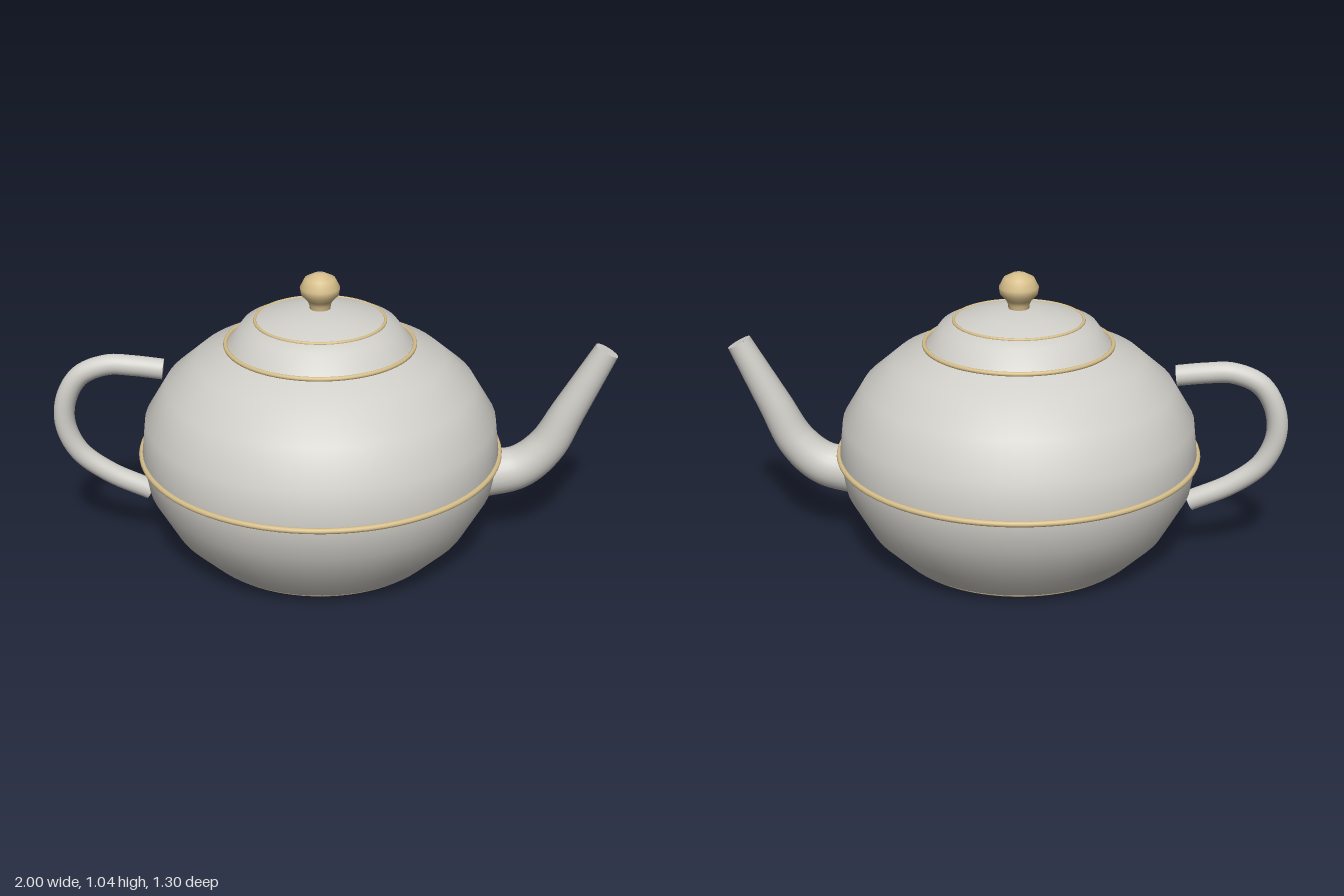
import * as THREE from 'three';

const BODY_X = -0.05;

export function createModel() {
  const model = new THREE.Group();
  model.name = 'teapot';

  const silver = new THREE.MeshStandardMaterial({ color: 0xd0cec8 });
  silver.name = 'pale silver';
  const gold = new THREE.MeshStandardMaterial({ color: 0xd6be8a });
  gold.name = 'soft gold';

  const add = (name, geometry, material, x = 0, y = 0) => {
    const mesh = new THREE.Mesh(geometry, material);
    mesh.name = name;
    mesh.position.set(x, y, 0);
    model.add(mesh);
    return mesh;
  };

  // Turned parts, profiles run from bottom to top as [radius, height]
  const turned = (name, profile, material, segments = 64) =>
    add(name, new THREE.LatheGeometry(profile.map(([r, y]) => new THREE.Vector2(r, y)), segments), material, BODY_X);

  turned('body', [
    [0.41, 0], [0.44, 0.015], [0.54, 0.115], [0.62, 0.26], [0.64, 0.38],
    [0.625, 0.51], [0.55, 0.635], [0.44, 0.73], [0.33, 0.78],
  ], silver);
  turned('lid', [
    [0.33, 0.78], [0.318, 0.792], [0.275, 0.85], [0.225, 0.87],
    [0.144, 0.895], [0.077, 0.908], [0, 0.912],
  ], silver);
  turned('knob', [
    [0.036, 0.905], [0.038, 0.925], [0.045, 0.94], [0.066, 0.962], [0.07, 0.987],
    [0.053, 1.02], [0.022, 1.036], [0, 1.038],
  ], gold, 32);

  // Flat underside
  add('base', new THREE.CircleGeometry(0.41, 64).rotateX(Math.PI / 2), silver, BODY_X);

  // Gold trim rings: name, radius, thickness, height
  for (const [name, radius, tube, y] of [
    ['baseRing', 0.422, 0.006, 0.008],
    ['waistRing', 0.642, 0.01, 0.38],
    ['lidRimRing', 0.332, 0.008, 0.783],
    ['lidUpperRing', 0.228, 0.006, 0.868],
  ]) {
    add(name, new THREE.TorusGeometry(radius, tube, 10, 80).rotateX(Math.PI / 2), gold, BODY_X, y);
  }

  // Round tube along a path, tapering from r0 to r1, with closed ends
  const taperedTube = (name, path, r0, r1) => {
    const curve = new THREE.CatmullRomCurve3(path.map(([x, y]) => new THREE.Vector3(x, y, 0)));
    const steps = 48, sides = 24;
    const geometry = new THREE.TubeGeometry(curve, steps, r0, sides);
    const pos = geometry.attributes.position;
    const v = new THREE.Vector3();
    for (let i = 0; i <= steps; i++) {
      const t = i / steps;
      const centre = curve.getPointAt(t);
      const scale = THREE.MathUtils.lerp(1, r1 / r0, t);
      for (let j = 0; j <= sides; j++) {
        const k = i * (sides + 1) + j;
        v.fromBufferAttribute(pos, k).sub(centre).multiplyScalar(scale).add(centre);
        pos.setXYZ(k, v.x, v.y, v.z);
      }
    }
    add(name, geometry, silver);
    for (const [end, t, r, sign] of [['Start', 0, r0, -1], ['End', 1, r1, 1]]) {
      const cap = add(name + end + 'Cap', new THREE.CircleGeometry(r, sides), silver);
      cap.position.copy(curve.getPointAt(t));
      const outward = curve.getTangentAt(t).multiplyScalar(sign);
      cap.quaternion.setFromUnitVectors(new THREE.Vector3(0, 0, 1), outward);
    }
  };

  taperedTube('spout', [
    [0.53, 0.262], [0.67, 0.288], [0.765, 0.369], [0.842, 0.513], [0.963, 0.742],
  ], 0.088, 0.045);
  taperedTube('handle', [
    [-0.605, 0.684], [-0.71, 0.698], [-0.8, 0.702], [-0.898, 0.663], [-0.952, 0.578],
    [-0.963, 0.476], [-0.92, 0.369], [-0.818, 0.283], [-0.668, 0.209],
  ], 0.037, 0.037);

  return model;
}
